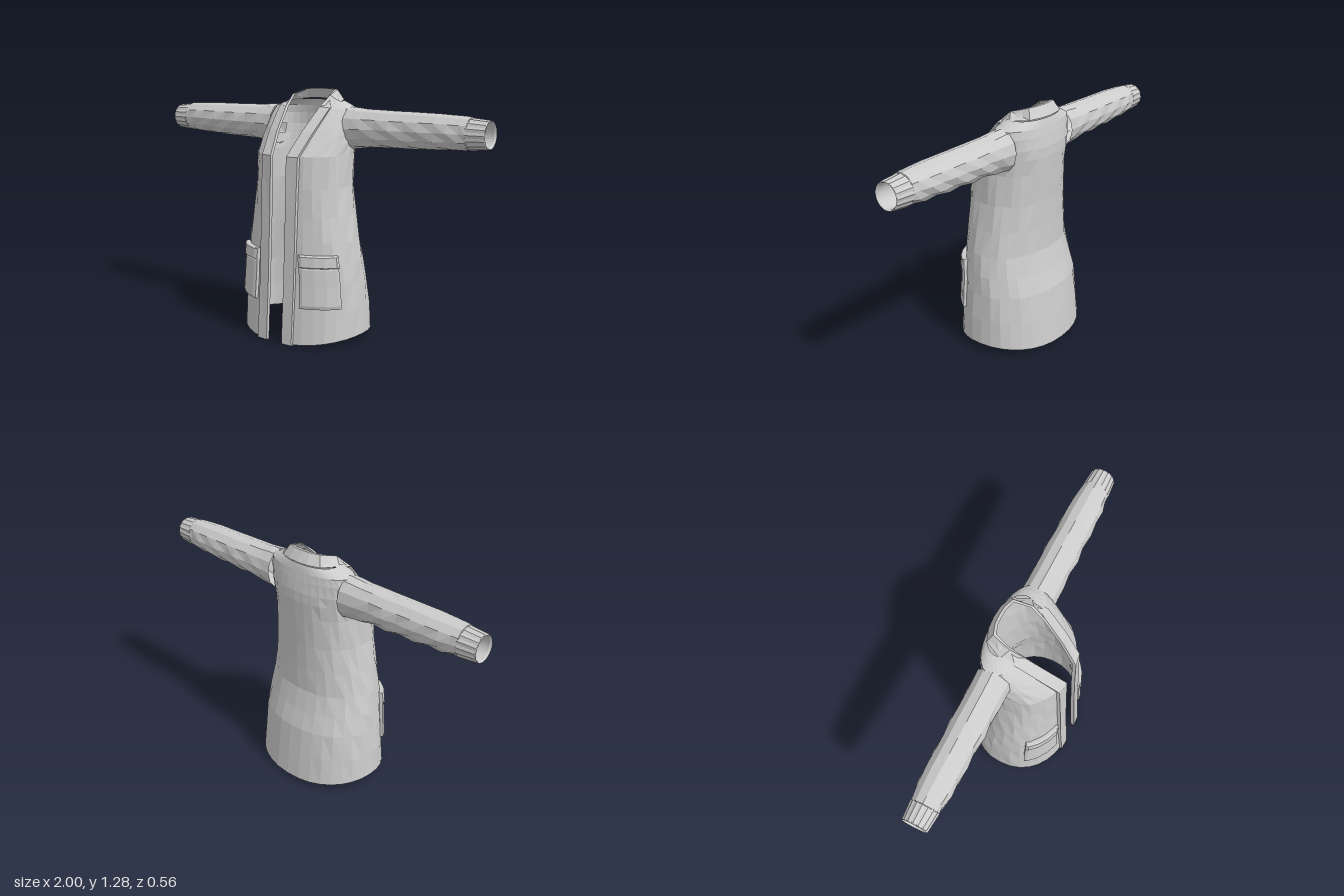
import * as THREE from 'three';

const V = (x, y, z) => new THREE.Vector3(x, y, z);
const spow = (v, p) => Math.sign(v) * Math.pow(Math.abs(v), p);
const N = 2.2; // squareness of the torso cross-section

// Torso rings: height, half width, front z, back z, x of the front opening
const RINGS = [
  [0.00, 0.355, 0.278, -0.280, 0.09],
  [0.18, 0.348, 0.264, -0.262, 0.09],
  [0.32, 0.336, 0.255, -0.245, 0.09],
  [0.42, 0.325, 0.250, -0.215, 0.09],
  [0.53, 0.308, 0.244, -0.190, 0.09],
  [0.66, 0.286, 0.238, -0.188, 0.09],
  [0.80, 0.266, 0.236, -0.190, 0.09],
  [0.96, 0.260, 0.227, -0.198, 0.09],
  [1.04, 0.262, 0.170, -0.202, 0.105],
  [1.09, 0.263, 0.130, -0.200, 0.12],
  [1.15, 0.262, 0.075, -0.190, 0.135],
  [1.19, 0.248, 0.038, -0.182, 0.145],
  [1.21, 0.205, 0.025, -0.177, 0.152],
  [1.226, 0.166, 0.010, -0.172, 0.155],
];

function ringAt(y) {
  let i = 0;
  while (i < RINGS.length - 2 && y > RINGS[i + 1][0]) i++;
  const a = RINGS[i], b = RINGS[i + 1], k = (y - a[0]) / (b[0] - a[0]);
  return a.map((v, j) => v + (b[j] - v) * k);
}

// Point on the torso: t = 0 at the front, PI at the back
function torso(t, y, off = 0) {
  const [, a, zf, zb] = ringAt(y);
  const x = (a + off) * spow(Math.sin(t), 2 / N);
  const z = (zf + zb) / 2 + ((zf - zb) / 2 + off) * spow(Math.cos(t), 2 / N);
  return V(x, y, z);
}

// Skin a grid of points, rows by columns, with flat faces
function loft(rows, closed = false, skip = () => false) {
  const pos = [];
  const n = rows[0].length;
  for (let r = 0; r < rows.length - 1; r++) {
    for (let c = 0; c < (closed ? n : n - 1); c++) {
      const d = (c + 1) % n;
      const p = rows[r][c], q = rows[r][d], s = rows[r + 1][d], u = rows[r + 1][c];
      if (skip(p.clone().add(q).add(s).add(u).multiplyScalar(0.25))) continue;
      for (const v of [p, q, s, p, s, u]) pos.push(v.x, v.y, v.z);
    }
  }
  const g = new THREE.BufferGeometry();
  g.setAttribute('position', new THREE.Float32BufferAttribute(pos, 3));
  g.computeVertexNormals();
  return g;
}

function torsoHalf() {
  const cols = 15;
  const rows = RINGS.map(([y, a, , , x0], r) => {
    const t0 = Math.asin(Math.pow(x0 / a, N / 2));
    return Array.from({ length: cols + 1 }, (_, c) => {
      const t = t0 + (Math.PI - t0) * c / cols;
      // soft drape folds, fading out at the edges
      const fold = r > 0 && r < 9 ? 0.004 * Math.sin(c * 2.1 + r * 1.7) * Math.sin(t) : 0;
      const p = torso(t, y, fold);
      // hem lifts at the sides
      if (r === 0) p.y = 0.033 * Math.sin(t) ** 2 + 0.008 * (1 - Math.cos(t));
      return p;
    });
  });
  // leave the armhole open
  return loft(rows, false, p => p.x > 0.2 && Math.abs(p.y - 1.1) < 0.055 && Math.abs(p.z + 0.06) < 0.045);
}

// Front band running up the opening and round the neck as a collar
function band() {
  const inner = [[.05, 0, .283], [.05, .32, .264], [.05, .66, .248], [.05, .96, .238], [.08, 1.08, .15],
    [.108, 1.2, .04], [.122, 1.255, -.03], [.1, 1.281, -.125], [.05, 1.284, -.142], [0, 1.284, -.146]];
  const outer = [[.112, 0, .28], [.112, .32, .258], [.112, .66, .243], [.115, .96, .228], [.142, 1.08, .135],
    [.165, 1.195, .028], [.168, 1.222, -.06], [.125, 1.23, -.15], [.06, 1.232, -.172], [0, 1.232, -.177]];
  const rows = inner.map((a, i) => {
    const p = V(...a), q = V(...outer[i]);
    const k = Math.min(1, Math.max(0, (i - 3) / 4));
    const d = V(0, 0, -0.02 * (1 - k));
    // towards the neck centre around the collar
    d.add(V(-p.x, 0, -0.05 - p.z).normalize().multiplyScalar(0.015 * k));
    return [p, q, q.clone().add(d), p.clone().add(d)];
  });
  const mid = rows[0].reduce((s, v) => s.add(v), V(0, 0, 0)).multiplyScalar(0.25);
  rows.unshift(rows[0].map(() => mid));
  return loft(rows, true);
}

// Sleeve or cuff ring: x, centre y, radii
function tubeRing(x, yc, ry, rz, sides, ripple) {
  return Array.from({ length: sides }, (_, i) => {
    const a = i / sides * Math.PI * 2, k = 1 + ripple(i, a);
    return V(x, yc + Math.cos(a) * ry * k, -0.062 + Math.sin(a) * rz * k);
  });
}

function sleeve() {
  const stations = [[.235, 1.092, .108, .092], [.275, 1.094, .104, .09], [.34, 1.096, .096, .088],
    [.42, 1.098, .093, .088], [.5, 1.098, .091, .09], [.58, 1.099, .09, .086], [.66, 1.1, .088, .086],
    [.74, 1.102, .085, .087], [.81, 1.102, .082, .083], [.87, 1.102, .08, .076], [.905, 1.102, .077, .072],
    [.912, 1.1, .066, .064]];
  return loft(stations.map(([x, y, ry, rz], r) => tubeRing(x, y, ry, rz, 12, (i, a) =>
    // zigzag creases on the underside
    r > 1 && r < 10 && Math.cos(a) < 0.1 && Math.cos(a) > -0.95 ? ((i + r) % 2 ? 0.035 : -0.06) : 0)), true);
}

function cuff() {
  const stations = [[.895, .066], [.902, .076], [.925, .074], [.96, .071], [.995, .068], [1, .064], [.99, .058], [.9, .058]];
  return loft(stations.map(([x, r], k) => tubeRing(x, 1.1, r, r * 0.97, 32,
    i => (k > 0 && k < 5 && i % 2 ? -0.05 : 0))), true);
}

// Raised padded panel wrapped on the torso
function panel(t0, t1, y0, y1, off) {
  const cols = [0, 0, .08, .36, .64, .92, 1, 1], lines = [0, 0, .08, .5, .92, 1, 1];
  return loft(lines.map((v, r) => cols.map((u, c) => {
    const edge = r === 0 || c === 0 || r === lines.length - 1 || c === cols.length - 1;
    const rim = r === 1 || c === 1 || r === lines.length - 2 || c === cols.length - 2;
    return torso(t0 + (t1 - t0) * u, y0 + (y1 - y0) * v, edge ? -0.004 : rim ? off * 0.7 : off);
  })));
}

export function createModel() {
  const model = new THREE.Group();
  model.name = 'cardigan';
  const knit = new THREE.MeshStandardMaterial({ color: 0xcccccc, flatShading: true, side: THREE.DoubleSide });
  knit.name = 'grey knit';

  const parts = {
    torso: torsoHalf(),
    frontBandAndCollar: band(),
    sleeve: sleeve(),
    cuff: cuff(),
    pocket: panel(0.38, 1.1, 0.2, 0.42, 0.02),
    pocketFlap: panel(0.37, 1.11, 0.41, 0.472, 0.026),
  };
  // Both halves are mirror images
  for (const [side, sx] of [['left', 1], ['right', -1]]) {
    const half = new THREE.Group();
    half.name = side + 'Half';
    half.scale.x = sx;
    for (const [name, geo] of Object.entries(parts)) {
      const mesh = new THREE.Mesh(geo, knit);
      mesh.name = side + name[0].toUpperCase() + name.slice(1);
      half.add(mesh);
    }
    model.add(half);
  }
  return model;
}
